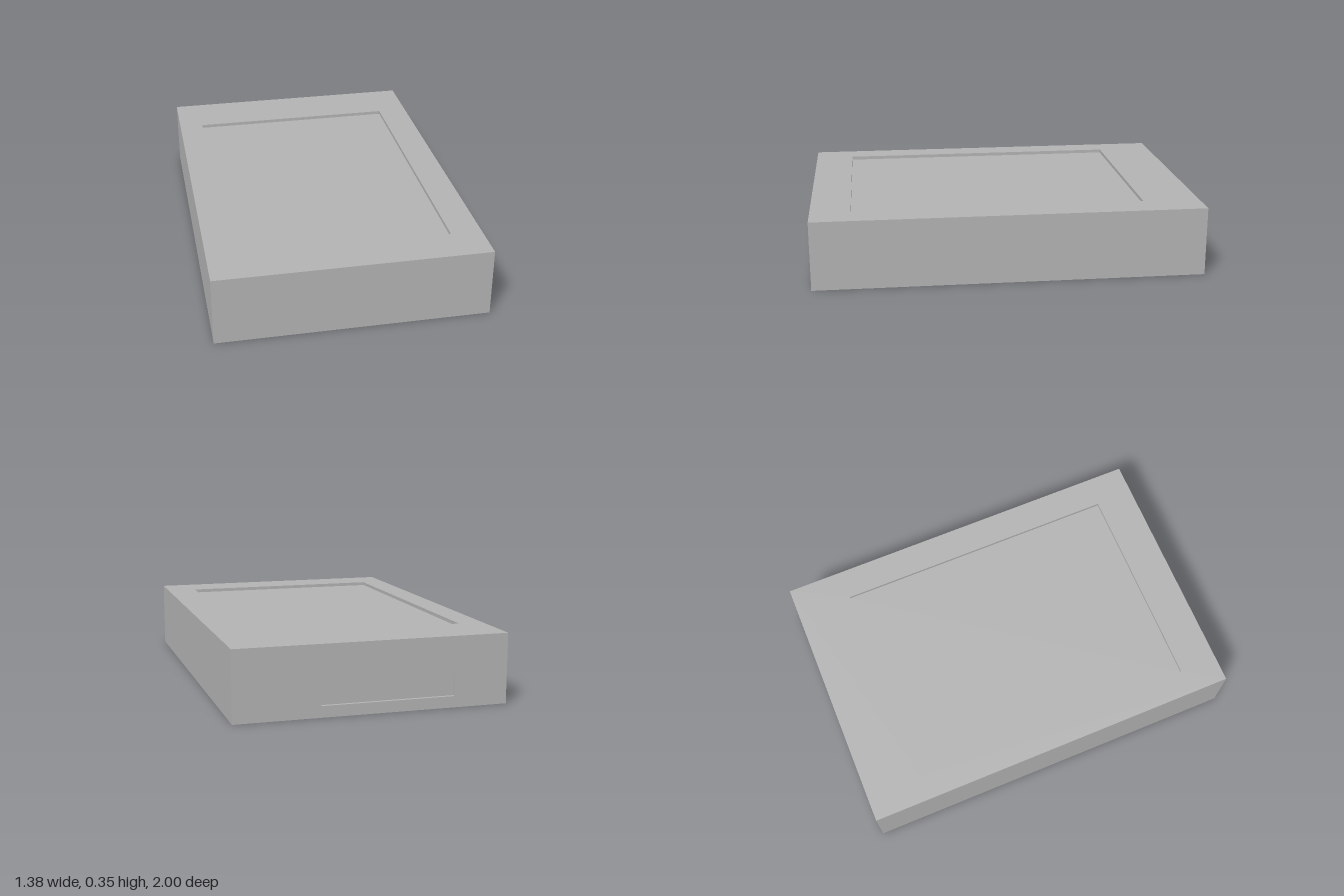
import * as THREE from 'three';

const W = 1.38, H = 0.355, L = 2;
const DEPTH = 0.018;

// Flat rectangle facing +z, optionally with a rectangular opening {x0, x1, y0, y1}
function panel(w, h, hole) {
  const rect = (Type, x0, x1, y0, y1) => new Type([
    new THREE.Vector2(x0, y0), new THREE.Vector2(x1, y0),
    new THREE.Vector2(x1, y1), new THREE.Vector2(x0, y1),
  ]);
  const shape = rect(THREE.Shape, -w / 2, w / 2, -h / 2, h / 2);
  if (hole) shape.holes.push(rect(THREE.Path, hole.x0, hole.x1, hole.y0, hole.y1));
  return new THREE.ShapeGeometry(shape);
}

// Inward-facing shallow tray that lines an opening
function tray({ x0, x1, y0, y1 }) {
  const g = new THREE.BoxGeometry(x1 - x0, y1 - y0, DEPTH);
  g.scale(1, 1, -1); // turns the faces inward
  g.setIndex(Array.from(g.index.array).slice(0, 30)); // leaves the mouth open
  g.computeVertexNormals();
  g.translate((x0 + x1) / 2, (y0 + y1) / 2, -DEPTH / 2);
  return g;
}

export function createModel() {
  const model = new THREE.Group();
  const grey = new THREE.MeshStandardMaterial({ color: 0xb2b2b2 });
  grey.name = 'grey';

  // Openings, in each panel's own coordinates
  const topHole = { x0: -0.56, x1: 0.53, y0: -0.795, y1: 0.705 };
  const backHole = { x0: -0.26, x1: 0.415, y0: 0.057 - H / 2, y1: 0.167 - H / 2 };

  // The six sides of the block: size, rotation, position, opening
  const sides = [
    { name: 'front', w: W, h: H, pos: [0, H / 2, L / 2] },
    { name: 'back', w: W, h: H, ry: Math.PI, pos: [0, H / 2, -L / 2], hole: backHole, recess: 'portRecess' },
    { name: 'leftSide', w: L, h: H, ry: Math.PI / 2, pos: [W / 2, H / 2, 0] },
    { name: 'rightSide', w: L, h: H, ry: -Math.PI / 2, pos: [-W / 2, H / 2, 0] },
    { name: 'top', w: W, h: L, rx: -Math.PI / 2, pos: [0, H, 0], hole: topHole, recess: 'topRecess' },
    { name: 'bottom', w: W, h: L, rx: Math.PI / 2, pos: [0, 0, 0] },
  ];

  for (const { name, w, h, rx = 0, ry = 0, pos, hole, recess } of sides) {
    const add = (geometry, partName) => {
      const mesh = new THREE.Mesh(geometry, grey);
      mesh.name = partName;
      mesh.rotation.set(rx, ry, 0);
      mesh.position.set(...pos);
      model.add(mesh);
    };
    add(panel(w, h, hole), name);
    if (hole) add(tray(hole), recess);
  }

  return model;
}
